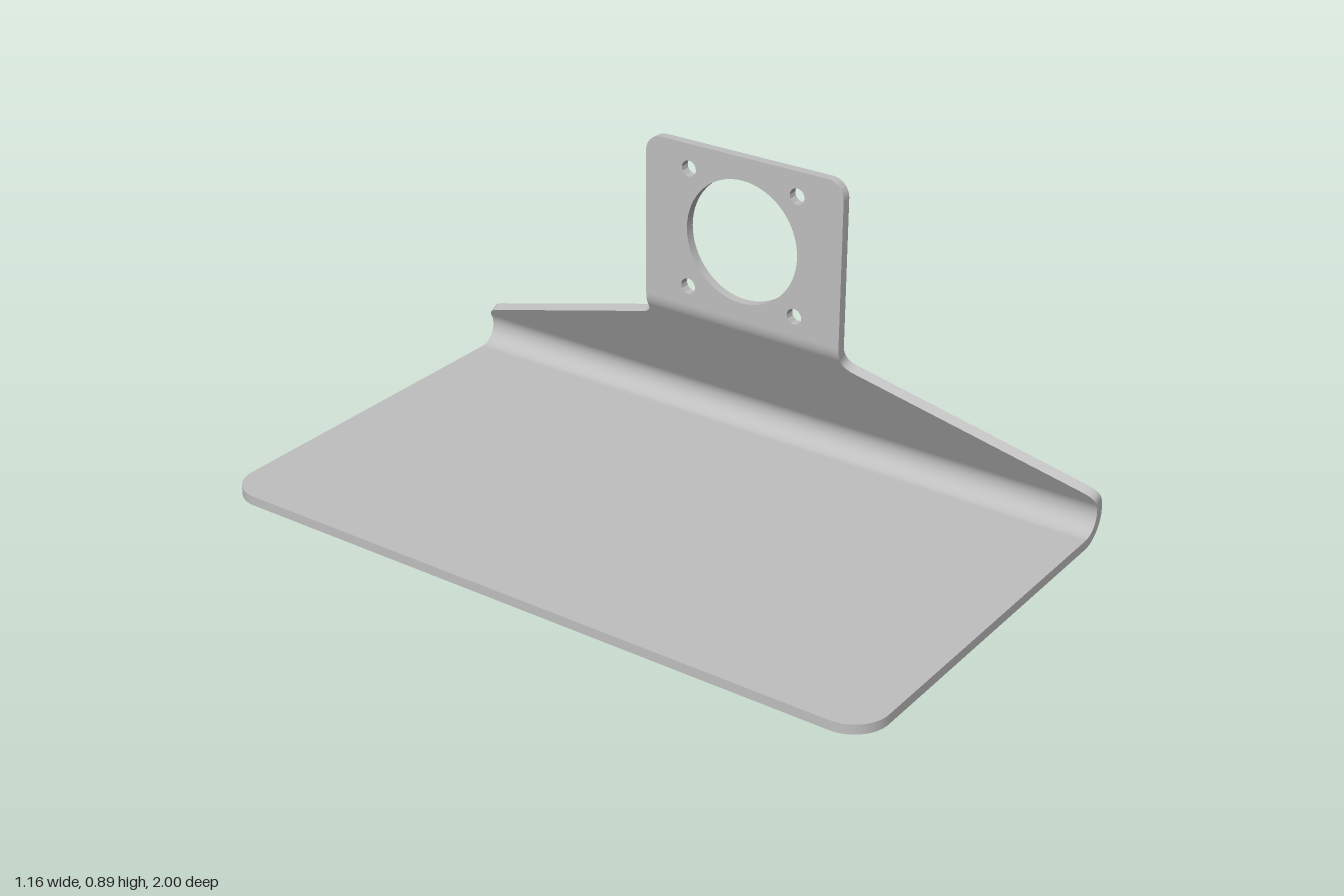
import * as THREE from 'three';
import { toCreasedNormals } from 'three/addons/utils/BufferGeometryUtils.js';

const T = 0.027;                 // sheet thickness
const LEAN = 29 * Math.PI / 180; // lean of the web from vertical
const BEND = { x: 0.497, y: 0.083, r: 0.083 };
const KNEE = { x: 0.465, y: 0.425, r: 0.055 };
const NECK = 0.31;               // half width of the mounting plate

function circle(x, y, r) {
  return new THREE.Path().absarc(x, y, r, 0, Math.PI * 2, true);
}

function extrude(shape) {
  return new THREE.ExtrudeGeometry(shape, { depth: T, bevelEnabled: false, curveSegments: 32 });
}

// Flat base with two rounded corners
function baseGeometry() {
  const x0 = -0.58, r = 0.1;
  const s = new THREE.Shape();
  s.moveTo(BEND.x, -1);
  s.lineTo(BEND.x, 1);
  s.lineTo(x0 + r, 1);
  s.absarc(x0 + r, 1 - r, r, Math.PI / 2, Math.PI, false);
  s.absarc(x0 + r, -1 + r, r, Math.PI, Math.PI * 1.5, false);
  s.closePath();
  return toCreasedNormals(extrude(s).rotateX(-Math.PI / 2), 0.5);
}

// Upright plate with a large bore and four screw holes
function plateGeometry() {
  const top = 0.89, r = 0.05;
  const s = new THREE.Shape();
  s.moveTo(-NECK, KNEE.y);
  s.lineTo(NECK, KNEE.y);
  s.lineTo(NECK, top - r);
  s.absarc(NECK - r, top - r, r, 0, Math.PI / 2, false);
  s.absarc(-NECK + r, top - r, r, Math.PI / 2, Math.PI, false);
  s.closePath();
  s.holes.push(circle(0, 0.65, 0.175));
  for (const z of [-0.17, 0.17]) {
    for (const y of [0.48, 0.82]) s.holes.push(circle(z, y, 0.0225));
  }
  const g = extrude(s).rotateY(Math.PI / 2).translate(KNEE.x - KNEE.r - T, 0, 0);
  return toCreasedNormals(g, 0.5);
}

// Cross-sections of the bent web: outer-face point, normal and half width
function webStations() {
  const list = [];
  const add = (x, y, a, w) => list.push({ x, y, nx: Math.cos(a), ny: Math.sin(a), w });

  // lower bend
  const steps = 28;
  for (let i = 0; i <= steps; i++) {
    const a = -Math.PI / 2 + (Math.PI / 2 + LEAN) * i / steps;
    add(BEND.x + BEND.r * Math.cos(a), BEND.y + BEND.r * Math.sin(a), a, 1);
  }

  // tapering slope, outline given as (half width, distance up the slope)
  const v = (w, s) => new THREE.Vector2(w, s);
  const start = list[list.length - 1];
  const outline = [
    ...new THREE.QuadraticBezierCurve(v(1, 0), v(1, 0.026), v(0.965, 0.039)).getPoints(8).slice(1),
    ...new THREE.QuadraticBezierCurve(v(0.34, 0.274), v(NECK, 0.285), v(NECK, 0.315)).getPoints(8),
  ];
  for (const p of outline) {
    add(start.x - Math.sin(LEAN) * p.y, start.y + Math.cos(LEAN) * p.y, LEAN, p.x);
  }

  // upper bend back to vertical
  for (let i = 1; i <= 8; i++) {
    const b = LEAN * (1 - i / 8);
    add(KNEE.x - KNEE.r * Math.cos(b), KNEE.y - KNEE.r * Math.sin(b), b, NECK);
  }
  return list;
}

// Four separate strips keep the sheet edges sharp and the bends smooth
function webGeometry() {
  const sections = webStations().map(({ x, y, nx, ny, w }) => {
    const xi = x - T * nx, yi = y - T * ny;
    return [[x, y, -w], [x, y, w], [xi, yi, w], [xi, yi, -w]];
  });
  const pos = [], index = [];
  for (let k = 0; k < 4; k++) {
    const first = pos.length / 3;
    sections.forEach((c, i) => {
      pos.push(...c[k], ...c[(k + 1) % 4]);
      if (i === 0) return;
      const a = first + (i - 1) * 2;
      index.push(a, a + 2, a + 3, a, a + 3, a + 1);
    });
  }
  const g = new THREE.BufferGeometry();
  g.setAttribute('position', new THREE.Float32BufferAttribute(pos, 3));
  g.setIndex(index);
  g.computeVertexNormals();
  return g;
}

export function createModel() {
  const metal = new THREE.MeshStandardMaterial({ color: 0xbfbfbf });
  metal.name = 'sheetMetalGrey';

  const group = new THREE.Group();
  group.name = 'bentSheetBracket';
  const parts = { basePlate: baseGeometry(), bentWeb: webGeometry(), mountingPlate: plateGeometry() };
  for (const [name, geometry] of Object.entries(parts)) {
    const mesh = new THREE.Mesh(geometry, metal);
    mesh.name = name;
    group.add(mesh);
  }
  return group;
}
